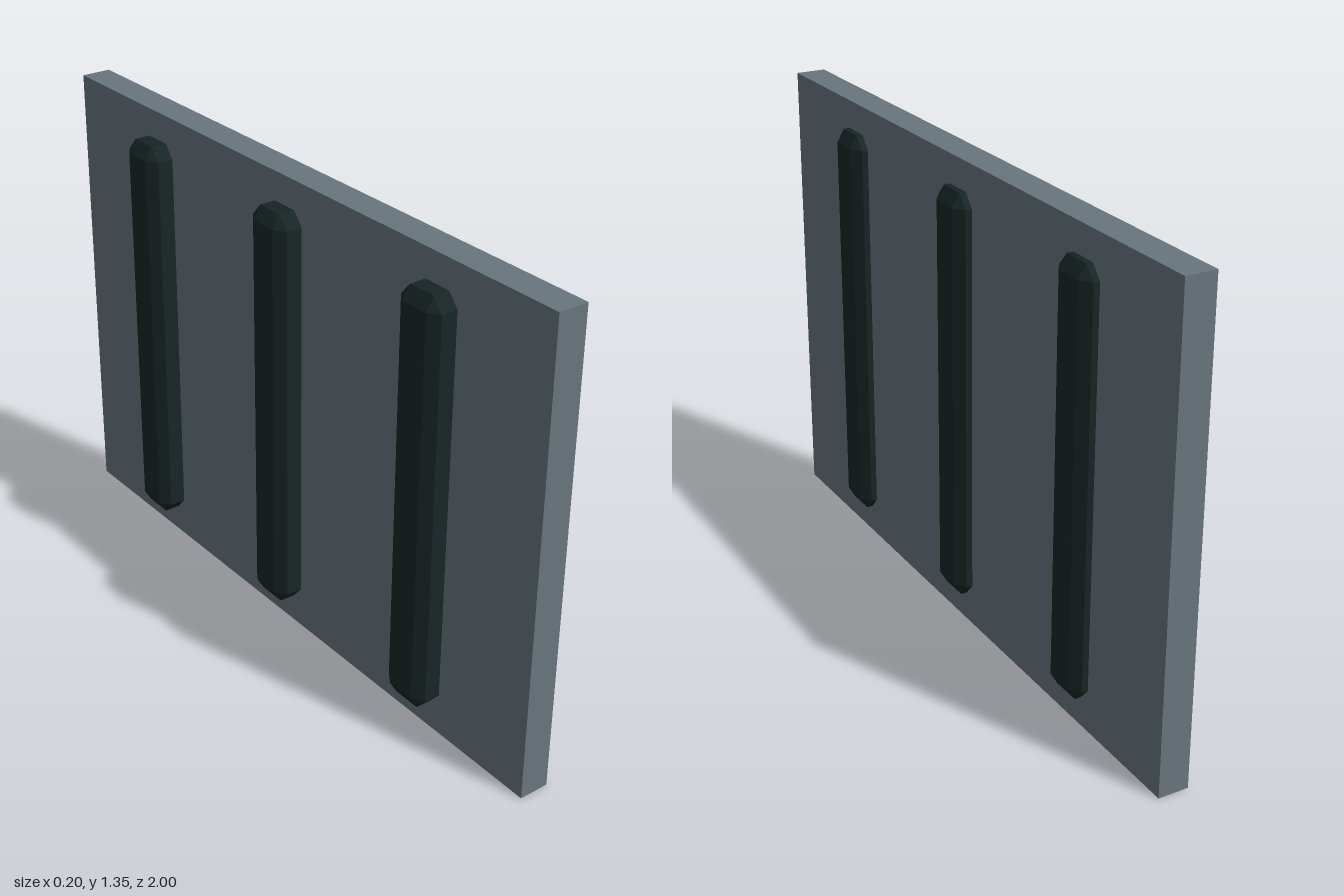
import * as THREE from 'three';
import { ConvexGeometry } from 'three/addons/geometries/ConvexGeometry.js';

// Box with every edge and corner cut; half = half sizes, cut = inset per axis
function chamferedBox(half, cut) {
  const points = [];
  for (const sx of [-1, 1]) for (const sy of [-1, 1]) for (const sz of [-1, 1]) {
    for (let face = 0; face < 3; face++) {
      const [x, y, z] = half.map((h, axis) => (axis === face ? h : h - cut[axis]));
      points.push(new THREE.Vector3(sx * x, sy * y, sz * z));
    }
  }
  return new ConvexGeometry(points);
}

export function createModel() {
  const group = new THREE.Group();
  group.name = 'barredPanel';

  const panelMaterial = new THREE.MeshStandardMaterial({ color: 0x68757d, flatShading: true });
  const barMaterial = new THREE.MeshStandardMaterial({ color: 0x182525, flatShading: true });

  // Upright slab, slightly offset towards +x
  const panel = new THREE.Mesh(new THREE.BoxGeometry(0.087, 1.352, 2), panelMaterial);
  panel.name = 'panel';
  panel.position.set(0.0145, 0.676, 0);
  group.add(panel);

  // Three vertical bars passing through the slab
  const barGeometry = chamferedBox([0.098, 0.593, 0.074], [0.022, 0.037, 0.032]);
  [0.602, 0, -0.602].forEach((z, i) => {
    const bar = new THREE.Mesh(barGeometry, barMaterial);
    bar.name = ['frontBar', 'middleBar', 'backBar'][i];
    bar.position.set(0, 0.677, z);
    group.add(bar);
  });

  return group;
}
